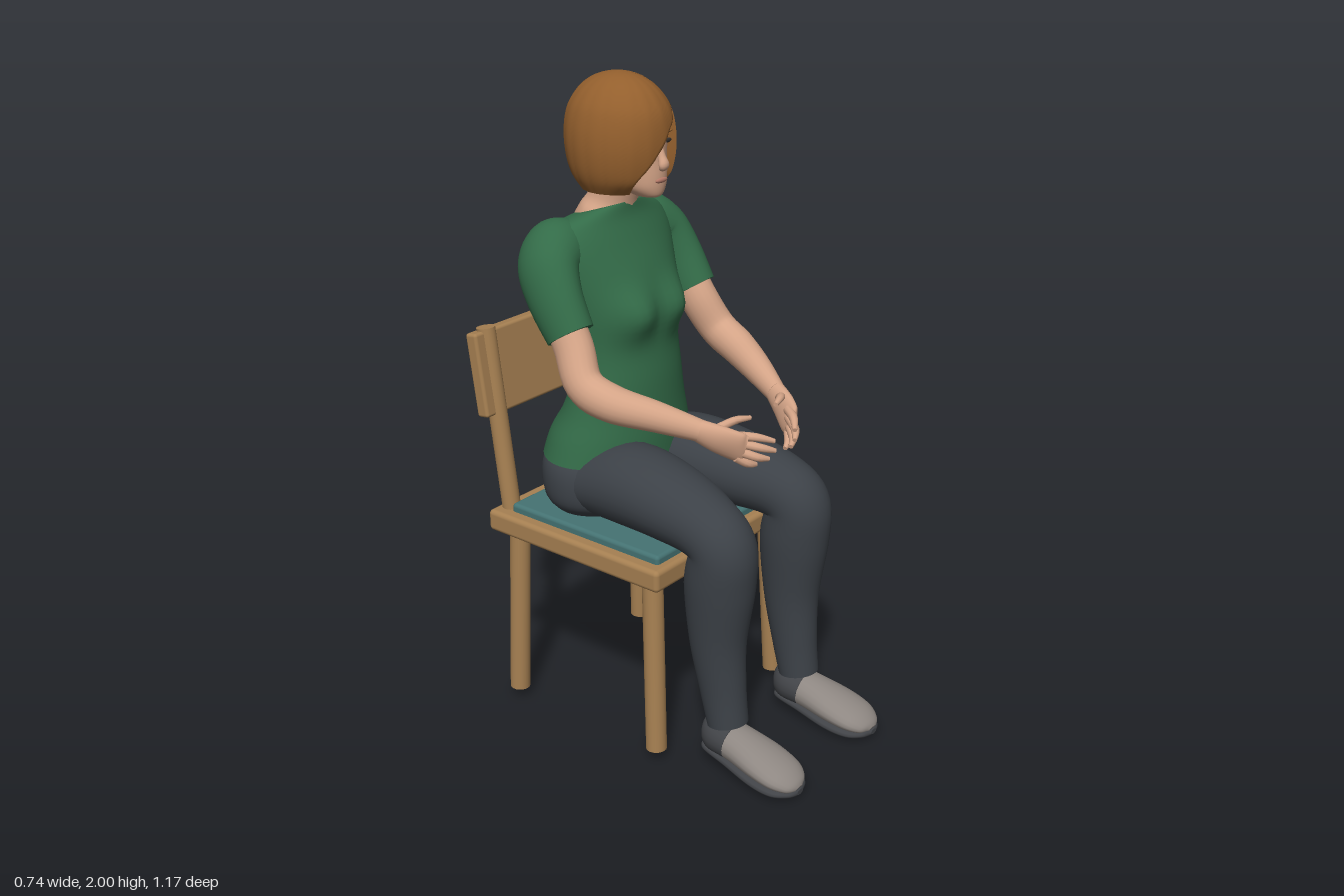
import * as THREE from 'three';
import { RoundedBoxGeometry } from 'three/addons/geometries/RoundedBoxGeometry.js';

const V = (x, y, z) => new THREE.Vector3(x, y, z);
const mat = (name, color, side = THREE.FrontSide) => {
  const m = new THREE.MeshStandardMaterial({ color, side });
  m.name = name;
  return m;
};

// Catmull-Rom resampling of rows of numbers
function smooth(rows, n) {
  const out = [], last = rows.length - 1;
  for (let i = 0; i < last; i++) {
    const [a, b, c, d] = [rows[Math.max(i - 1, 0)], rows[i], rows[i + 1], rows[Math.min(i + 2, last)]];
    for (let k = 0; k < n; k++) {
      const t = k / n;
      out.push(b.map((_, j) => 0.5 * (2 * b[j] + (c[j] - a[j]) * t
        + (2 * a[j] - 5 * b[j] + 4 * c[j] - d[j]) * t * t
        + (3 * b[j] - a[j] - 3 * c[j] + d[j]) * t * t * t)));
    }
  }
  out.push(rows[last].slice());
  return out;
}

// Skin over rings of points, with flat end caps when closed
function loft(rings, closed = true) {
  const pos = [], idx = [], n = rings[0].length, add = p => pos.push(p.x, p.y, p.z) / 3 - 1;
  rings.forEach(r => r.forEach(add));
  for (let i = 0; i < rings.length - 1; i++) {
    for (let j = 0; j < (closed ? n : n - 1); j++) {
      const a = i * n + j, b = i * n + (j + 1) % n;
      idx.push(a, b, b + n, a, b + n, a + n);
    }
  }
  if (closed) [rings[0], rings[rings.length - 1]].forEach((ring, end) => {
    const mid = add(ring.reduce((s, p) => s.add(p), V(0, 0, 0)).divideScalar(n));
    const first = ring.map(add)[0];
    for (let j = 0; j < n; j++) {
      const a = first + j, b = first + (j + 1) % n;
      end ? idx.push(mid, a, b) : idx.push(mid, b, a);
    }
  });
  const g = new THREE.BufferGeometry();
  g.setAttribute('position', new THREE.Float32BufferAttribute(pos, 3));
  g.setIndex(idx);
  g.computeVertexNormals();
  return g;
}

// Tube along rows of [x, y, z, sideways radius, other radius]
function limb(rows, n = 6, seg = 20) {
  const R = smooth(rows, n), P = R.map(r => V(r[0], r[1], r[2]));
  return loft(R.map((r, i) => {
    const t = P[Math.min(i + 1, P.length - 1)].clone().sub(P[Math.max(i - 1, 0)]).normalize();
    const u = V(1, 0, 0).addScaledVector(t, -t.x).normalize(), v = t.clone().cross(u);
    return Array.from({ length: seg }, (_, j) => {
      const a = j / seg * Math.PI * 2;
      return P[i].clone().addScaledVector(u, Math.cos(a) * r[3]).addScaledVector(v, Math.sin(a) * r[4]);
    });
  }));
}

// Upright body from rows of [y, half width, front z, back z, tilt]
function stack(rows, n = 5, seg = 40, shape = () => {}) {
  return loft(smooth(rows, n).map(([y, rx, zf, zb, tilt]) => Array.from({ length: seg }, (_, j) => {
    const a = j / seg * Math.PI * 2, dz = Math.cos(a) * (zf - zb) / 2;
    const p = V(Math.sin(a) * rx, y + tilt * dz, (zf + zb) / 2 + dz);
    shape(p, dz);
    return p;
  })));
}

// Bob with a face opening: rows of [y, half width, front z, back z, opening x from, to]
function bob(rows) {
  const seg = 84, asin = v => Math.asin(Math.max(-1, Math.min(1, v)));
  return loft(smooth(rows, 5).map(([y, rx, zf, zb, from, to]) => {
    const a0 = asin(to / rx), a1 = Math.min(asin(from / rx), a0) + Math.PI * 2, ring = [];
    for (let j = -1; j <= seg + 1; j++) {
      const a = a0 + (a1 - a0) * Math.max(0, Math.min(seg, j)) / seg;
      const k = j < 0 || j > seg ? 0.68 : 1 - 0.014 * Math.pow(Math.abs(Math.sin(a * 9)), 8);
      ring.push(V(Math.sin(a) * rx * k, y, (zf + zb) / 2 + Math.cos(a) * (zf - zb) / 2 * k));
    }
    return ring;
  }), false);
}

export function createModel() {
  const model = new THREE.Group();
  const wood = mat('wood', 0xa68052), teal = mat('cushion teal', 0x457373);
  const skin = mat('skin', 0xd4a487), hair = mat('hair', 0x935f2d, THREE.DoubleSide);
  const green = mat('shirt green', 0x336b48), slate = mat('trouser slate', 0x3c4147);
  const grey = mat('shoe grey', 0x8e8782), dark = mat('sole dark', 0x414347);
  const lip = mat('lips', 0xb57a68), eye = mat('eyes', 0x33302e);
  const add = (parent, name, geo, m, x = 0, y = 0, z = 0) => {
    const mesh = new THREE.Mesh(geo, m);
    mesh.name = name;
    mesh.position.set(x, y, z);
    parent.add(mesh);
    return mesh;
  };
  const group = name => {
    const g = new THREE.Group();
    g.name = name;
    model.add(g);
    return g;
  };

  // Chair
  const chair = group('chair');
  add(chair, 'seatFrame', new RoundedBoxGeometry(0.68, 0.07, 0.68, 3, 0.015), wood, 0, 0.625, -0.18);
  add(chair, 'cushion', new RoundedBoxGeometry(0.6, 0.05, 0.585, 3, 0.012), teal, 0, 0.661, -0.162);
  add(chair, 'backrest', new RoundedBoxGeometry(0.67, 0.265, 0.045, 3, 0.01), wood, 0, 1.095, -0.545).rotation.x = -0.14;
  for (const s of [-1, 1]) {
    add(chair, 'frontLeg', limb([[s * 0.302, 0.035, 0.122, 0.032, 0.032], [s * 0.285, 0.6, 0.098, 0.032, 0.032]], 1), wood);
    add(chair, 'rearLeg', limb([[s * 0.302, 0.035, -0.45, 0.032, 0.032], [s * 0.285, 0.6, -0.437, 0.032, 0.032]], 1), wood);
    add(chair, 'backPost', limb([[s * 0.275, 0.64, -0.477, 0.029, 0.029], [s * 0.275, 1.235, -0.556, 0.029, 0.029]], 1), wood);
  }

  // Shirt body, fuller at the chest
  const body = group('body');
  add(body, 'shirt', stack([
    [0.852, 0.272, -0.085, -0.465, 0], [0.92, 0.252, -0.085, -0.445, 0], [1.0, 0.222, -0.09, -0.4, 0],
    [1.1, 0.2, -0.095, -0.37, 0], [1.2, 0.196, -0.105, -0.382, 0], [1.31, 0.208, -0.105, -0.415, 0],
    [1.42, 0.232, -0.135, -0.435, 0], [1.51, 0.245, -0.175, -0.43, 0.05], [1.565, 0.215, -0.2, -0.415, 0.15],
    [1.597, 0.14, -0.205, -0.385, 0.28], [1.602, 0.108, -0.205, -0.37, 0.32],
  ], 5, 48, (p, dz) => {
    if (dz > 0) p.z += 0.04 * Math.exp(-(((Math.abs(p.x) - 0.09) / 0.065) ** 2) - ((p.y - 1.315) / 0.07) ** 2);
  }), green);
  add(body, 'hips', stack([
    [0.675, 0.23, -0.12, -0.425, 0], [0.72, 0.275, -0.08, -0.455, 0], [0.78, 0.285, -0.07, -0.467, 0],
    [0.84, 0.273, -0.08, -0.462, 0], [0.89, 0.23, -0.11, -0.42, 0],
  ]), slate);
  add(body, 'neck', limb([
    [0, 1.53, -0.31, 0.11, 0.1], [0, 1.59, -0.288, 0.1, 0.085],
    [0, 1.64, -0.272, 0.074, 0.072], [0, 1.74, -0.24, 0.07, 0.07],
  ]), skin);

  // Head and face
  const head = group('head');
  add(head, 'face', stack([
    [1.652, 0.022, -0.11, -0.17, 0], [1.66, 0.042, -0.098, -0.2, 0], [1.685, 0.068, -0.092, -0.25, 0],
    [1.72, 0.085, -0.091, -0.31, 0], [1.77, 0.098, -0.094, -0.36, 0], [1.83, 0.106, -0.094, -0.38, 0],
    [1.9, 0.1, -0.11, -0.375, 0], [1.96, 0.05, -0.19, -0.31, 0],
  ]), skin);
  add(head, 'nose', limb([
    [0, 1.815, -0.103, 0.009, 0.009], [0, 1.775, -0.092, 0.012, 0.012],
    [0, 1.75, -0.083, 0.018, 0.014], [0, 1.737, -0.091, 0.012, 0.008],
  ], 4, 14), skin);
  const dot = (name, m, x, y, z, w, h, d) =>
    add(head, name, new THREE.SphereGeometry(1, 16, 10), m, x, y, z).scale.set(w, h, d);
  for (const s of [-1, 1]) {
    dot('eye', eye, s * 0.041, 1.812, -0.103, 0.017, 0.007, 0.005);
    dot('eyebrow', hair, s * 0.042, 1.838, -0.103, 0.023, 0.004, 0.005);
  }
  dot('lips', lip, 0, 1.705, -0.093, 0.026, 0.008, 0.007);
  add(head, 'hair', bob([
    [1.665, 0.118, -0.135, -0.36, -0.068, 0.082], [1.7, 0.138, -0.098, -0.39, -0.08, 0.092],
    [1.74, 0.15, -0.084, -0.405, -0.06, 0.098], [1.79, 0.155, -0.077, -0.414, -0.022, 0.102],
    [1.84, 0.152, -0.078, -0.416, 0.02, 0.102], [1.885, 0.142, -0.086, -0.41, 0.07, 0.097],
    [1.92, 0.127, -0.102, -0.395, 0.085, 0.085], [1.955, 0.1, -0.13, -0.368, 0.065, 0.065],
    [1.98, 0.068, -0.165, -0.332, 0.043, 0.043], [1.994, 0.036, -0.203, -0.292, 0.022, 0.022],
    [2.0, 0.003, -0.245, -0.251, 0.001, 0.001],
  ]), hair);

  for (const s of [-1, 1]) {
    const side = s > 0 ? 'left' : 'right';
    const m = rows => rows.map(([x, ...rest]) => [s * x, ...rest]);

    // Sleeve, arm and hand
    const arm = group(side + 'Arm');
    add(arm, 'sleeve', limb(m([
      [0.13, 1.525, -0.33, 0.06, 0.075], [0.195, 1.507, -0.325, 0.09, 0.092], [0.25, 1.465, -0.31, 0.083, 0.098],
      [0.277, 1.385, -0.262, 0.072, 0.09], [0.284, 1.29, -0.2, 0.066, 0.077],
    ]), 6, 28), green);
    add(arm, 'forearm', limb(m([
      [0.284, 1.36, -0.245, 0.055, 0.06], [0.29, 1.26, -0.185, 0.056, 0.062], [0.314, 1.165, -0.125, 0.054, 0.06],
      [0.3, 1.125, -0.035, 0.054, 0.056], [0.245, 1.097, 0.08, 0.044, 0.046], [0.185, 1.064, 0.195, 0.028, 0.034],
    ])), skin);
    add(arm, 'palm', limb(m([
      [0.19, 1.067, 0.185, 0.028, 0.034], [0.16, 1.042, 0.24, 0.024, 0.046],
      [0.128, 1.02, 0.285, 0.018, 0.05], [0.115, 1.014, 0.303, 0.011, 0.042],
    ])), skin);
    const fingers = [
      ['thumb', [0.165, 1.06, 0.22], [0.115, 1.088, 0.26], [0.062, 1.086, 0.28]],
      ['indexFinger', [0.125, 1.05, 0.28], [0.09, 1.046, 0.325], [0.05, 1.03, 0.358]],
      ['middleFinger', [0.122, 1.028, 0.285], [0.085, 1.015, 0.335], [0.048, 1.0, 0.36]],
      ['ringFinger', [0.122, 1.003, 0.288], [0.09, 0.985, 0.325], [0.055, 0.972, 0.342]],
      ['littleFinger', [0.128, 0.985, 0.28], [0.1, 0.963, 0.302], [0.072, 0.952, 0.31]],
    ];
    for (const [name, a, b, c] of fingers) {
      add(arm, name, limb(m([[...a, 0.014, 0.014], [...b, 0.013, 0.012], [...c, 0.007, 0.007]]), 4, 10), skin);
    }

    // Trouser leg
    const leg = group(side + 'Leg');
    add(leg, 'trouserLeg', limb(m([
      [0.135, 0.775, -0.3, 0.13, 0.1], [0.145, 0.803, -0.1, 0.138, 0.125], [0.162, 0.795, 0.08, 0.128, 0.115],
      [0.182, 0.768, 0.22, 0.106, 0.1], [0.189, 0.715, 0.283, 0.1, 0.1], [0.188, 0.6, 0.272, 0.098, 0.11],
      [0.188, 0.42, 0.267, 0.08, 0.09], [0.186, 0.26, 0.285, 0.066, 0.074], [0.186, 0.145, 0.305, 0.061, 0.064],
    ]), 7, 28), slate);

    // Shoe with dark heel and sole
    const shoe = group(side + 'Shoe');
    add(shoe, 'upper', limb(m([
      [0.188, 0.092, 0.3, 0.062, 0.058], [0.19, 0.085, 0.36, 0.068, 0.053], [0.194, 0.068, 0.45, 0.079, 0.046],
      [0.198, 0.052, 0.52, 0.075, 0.036], [0.2, 0.038, 0.562, 0.05, 0.022], [0.2, 0.032, 0.578, 0.018, 0.008],
    ])), grey);
    add(shoe, 'heel', limb(m([
      [0.186, 0.093, 0.229, 0.022, 0.03], [0.186, 0.094, 0.24, 0.045, 0.052],
      [0.187, 0.094, 0.275, 0.062, 0.061], [0.189, 0.09, 0.335, 0.067, 0.056],
    ])), dark);
    add(shoe, 'sole', limb(m([
      [0.186, 0.056, 0.23, 0.02, 0.012], [0.187, 0.054, 0.25, 0.05, 0.02], [0.19, 0.045, 0.34, 0.066, 0.023],
      [0.194, 0.03, 0.45, 0.082, 0.024], [0.198, 0.023, 0.525, 0.077, 0.022],
      [0.2, 0.022, 0.567, 0.048, 0.016], [0.2, 0.022, 0.583, 0.015, 0.008],
    ])), dark);
  }
  return model;
}
